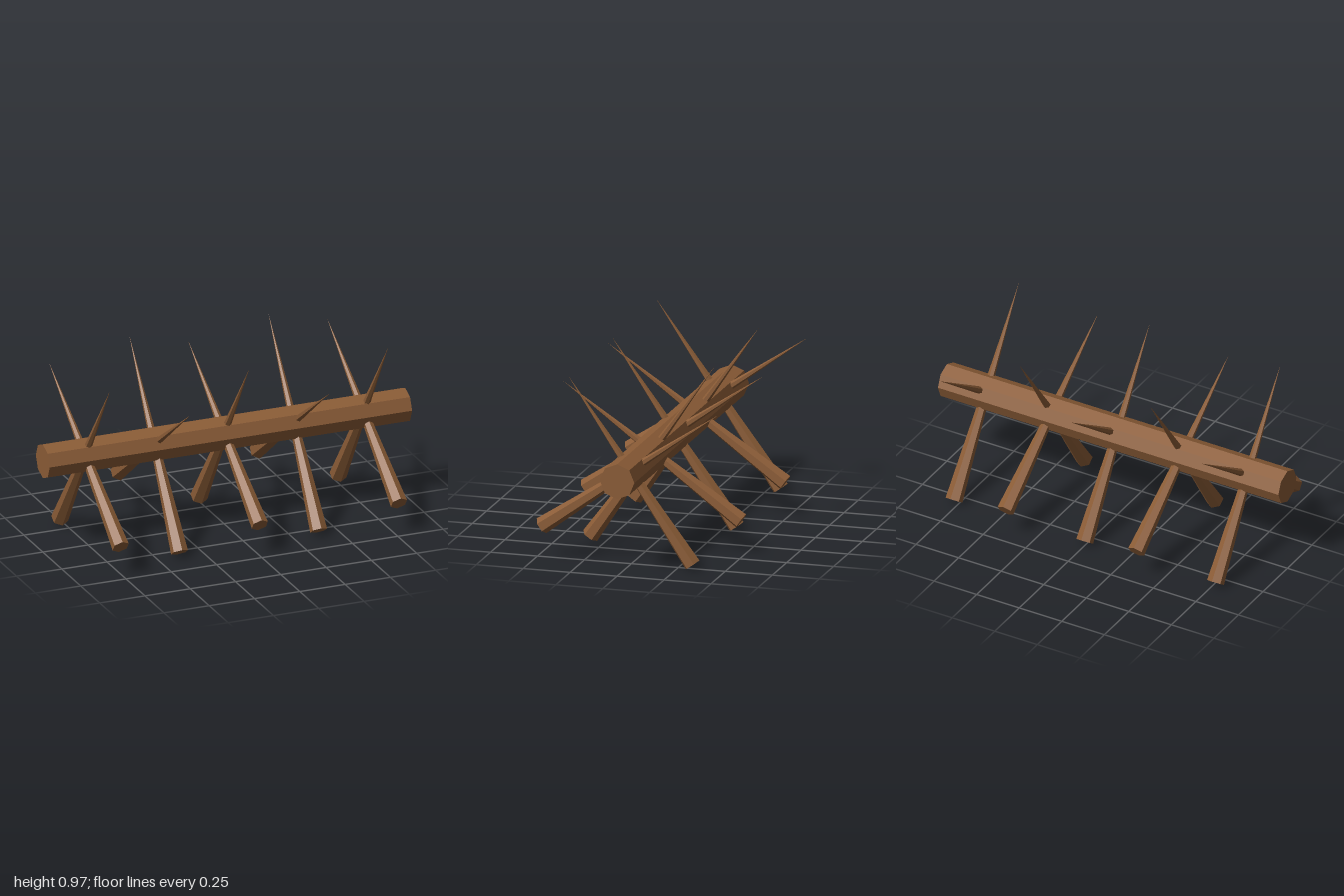
import * as THREE from 'three';

const CENTER_Y = 0.499;
const rad = THREE.MathUtils.degToRad;

export function createModel() {
  const group = new THREE.Group();
  group.name = 'spikedBarricade';
  const wood = new THREE.MeshStandardMaterial({ color: 0x8b5c36, flatShading: true });

  // Octagonal beam lying along x
  const beam = new THREE.Mesh(new THREE.CylinderGeometry(0.092, 0.092, 2, 8), wood);
  beam.name = 'beam';
  beam.rotation.z = Math.PI / 2;
  beam.position.y = CENTER_Y;
  group.add(beam);

  // Six-sided stakes, thick at the foot and sharpened to a point, through the beam axis
  const stakeGeometry = new THREE.ConeGeometry(0.045, 1.154, 6);
  const addStake = (x, tilt, name) => {
    const stake = new THREE.Mesh(stakeGeometry, wood);
    stake.name = name;
    stake.position.set(x, CENTER_Y, 0);
    stake.rotation.x = rad(tilt);
    group.add(stake);
  };

  // Crossed pairs, swapping the shallow and steep stake at every other place
  for (let i = -2; i <= 2; i++) {
    const side = i % 2 === 0 ? 1 : -1;
    addStake(i * 0.384, -55 * side, 'shallowStake');
    addStake(i * 0.384, 35 * side, 'steepStake');
  }
  return group;
}
